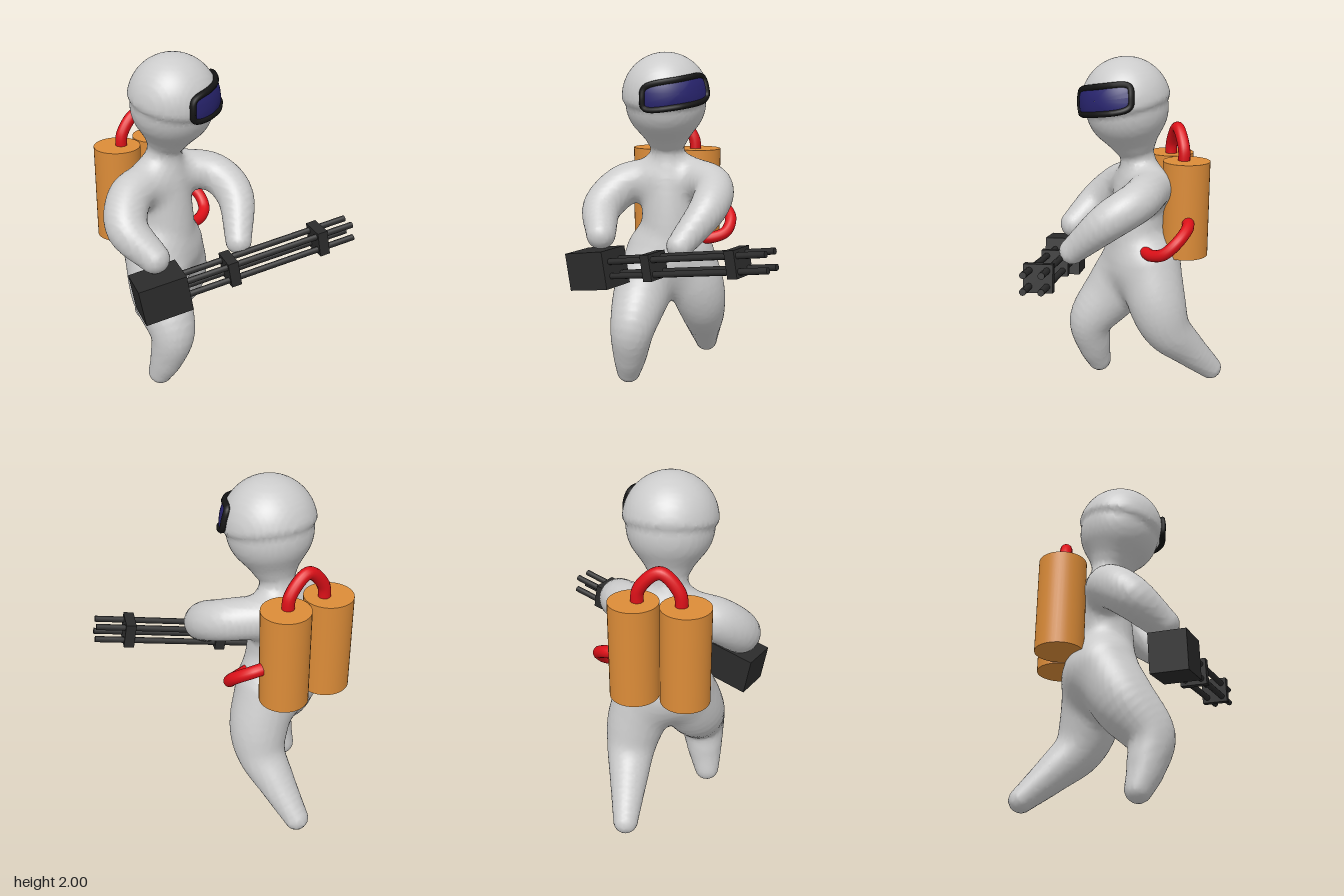
import * as THREE from 'three';

const mat = (color, side = THREE.FrontSide) => new THREE.MeshStandardMaterial({ color, side });
const V = (x, y, z) => new THREE.Vector3(x, y, z);

function add(parent, name, geometry, material, x = 0, y = 0, z = 0) {
  const mesh = new THREE.Mesh(geometry, material);
  mesh.name = name;
  mesh.position.set(x, y, z);
  parent.add(mesh);
  return mesh;
}

// Limbs as smooth chains of [x, y, z, radius]
const CHAINS = [
  // head, neck, torso
  [[-0.17, 1.745, 0.035, 0.255], [-0.21, 1.56, 0.03, 0.145], [-0.245, 1.42, 0.03, 0.1], [-0.27, 1.2, 0.025, 0.16],
    [-0.25, 1.0, 0.02, 0.165], [-0.27, 0.78, 0.02, 0.2]],
  // left leg, stepping forward
  [[-0.27, 0.78, 0.1, 0.185], [-0.17, 0.57, 0.175, 0.175], [-0.04, 0.38, 0.225, 0.135], [-0.065, 0.2, 0.245, 0.103],
    [-0.11, 0.073, 0.26, 0.073]],
  // right leg, trailing
  [[-0.28, 0.78, -0.07, 0.185], [-0.29, 0.57, -0.15, 0.17], [-0.34, 0.41, -0.185, 0.14], [-0.47, 0.27, -0.195, 0.108],
    [-0.645, 0.1, -0.205, 0.07]],
  // left arm
  [[-0.28, 1.25, 0.14, 0.12], [-0.28, 1.2, 0.3, 0.125], [-0.19, 1.08, 0.42, 0.117], [-0.01, 0.95, 0.405, 0.086]],
  // right arm
  [[-0.27, 1.26, -0.1, 0.12], [-0.1, 1.23, -0.245, 0.115], [0.08, 1.13, -0.225, 0.108], [0.22, 0.94, -0.07, 0.075]],
].map((pts) => {
  const path = new THREE.CatmullRomCurve3(pts.map((p) => V(p[0], p[1], p[2])), false, 'catmullrom');
  const radius = new THREE.CatmullRomCurve3(pts.map((p) => V(p[3], 0, 0)), false, 'catmullrom');
  const n = (pts.length - 1) * 6;
  return Array.from({ length: n + 1 }, (_, i) => ({ ...path.getPoint(i / n), r: radius.getPoint(i / n).x }));
});

// Distance to one tapered chain
function chainDistance(chain, x, y, z) {
  let best = Infinity;
  for (let i = 1; i < chain.length; i++) {
    const a = chain[i - 1], b = chain[i];
    const dx = b.x - a.x, dy = b.y - a.y, dz = b.z - a.z;
    let t = ((x - a.x) * dx + (y - a.y) * dy + (z - a.z) * dz) / (dx * dx + dy * dy + dz * dz);
    t = Math.min(1, Math.max(0, t));
    const px = x - a.x - dx * t, py = y - a.y - dy * t, pz = z - a.z - dz * t;
    best = Math.min(best, Math.sqrt(px * px + py * py + pz * pz) - a.r - (b.r - a.r) * t);
  }
  return best;
}

// All chains blended softly into one body
function bodyField(x, y, z) {
  const k = 0.07;
  let d = 10;
  for (const chain of CHAINS) {
    const e = chainDistance(chain, x, y, z);
    const h = Math.max(k - Math.abs(d - e), 0) / k;
    d = Math.min(d, e) - (h * h * k) / 4;
  }
  return d;
}

// Skin the field with quads across every grid edge that crosses the surface
function skin(field, min, max, step) {
  const n = [0, 1, 2].map((i) => Math.ceil((max[i] - min[i]) / step) + 1);
  const stride = [1, n[0], n[0] * n[1]];
  const values = new Float32Array(n[0] * n[1] * n[2]);
  const cellVertex = new Int32Array(values.length).fill(-1);
  const positions = [], index = [];
  const each = (from, fn) => {
    for (let z = from; z < n[2] - 1; z++)
      for (let y = from; y < n[1] - 1; y++)
        for (let x = from; x < n[0] - 1; x++) fn([x, y, z], x + y * stride[1] + z * stride[2]);
  };
  values.fill(1);
  each(0, (c, i) => { values[i] = field(...c.map((q, a) => min[a] + q * step)); });

  // one vertex per crossed cell, at the mean of its crossings
  each(0, (c, i) => {
    const sum = [0, 0, 0];
    let count = 0;
    for (let corner = 0; corner < 8; corner++) {
      const o = [corner & 1, (corner >> 1) & 1, corner >> 2];
      const j = i + o[0] + o[1] * stride[1] + o[2] * stride[2];
      for (let a = 0; a < 3; a++) {
        if (o[a]) continue;
        const f = values[j], g = values[j + stride[a]];
        if (f < 0 === g < 0) continue;
        for (let b = 0; b < 3; b++) sum[b] += o[b] + (a === b ? f / (f - g) : 0);
        count++;
      }
    }
    if (!count) return;
    cellVertex[i] = positions.length / 3;
    const p = c.map((q, a) => min[a] + (q + sum[a] / count) * step);
    const e = 0.004, d = field(...p);
    const grad = [0, 1, 2].map((a) => (field(...p.map((q, b) => q + (a === b ? e : 0))) - d) / e);
    const len = grad[0] ** 2 + grad[1] ** 2 + grad[2] ** 2 || 1;
    positions.push(...p.map((q, a) => q - (grad[a] * d) / len));
  });

  each(1, (c, i) => {
    for (let a = 0; a < 3; a++) {
      const inside = values[i] < 0;
      if (inside === values[i + stride[a]] < 0) continue;
      const u = stride[(a + 1) % 3], v = stride[(a + 2) % 3];
      const q = [i, i - u, i - u - v, i - v].map((s) => cellVertex[s]);
      if (!inside) q.reverse();
      index.push(q[0], q[1], q[2], q[0], q[2], q[3]);
    }
  });
  const geometry = new THREE.BufferGeometry();
  geometry.setAttribute('position', new THREE.Float32BufferAttribute(positions, 3));
  geometry.setIndex(index);
  geometry.computeVertexNormals();
  return geometry;
}

// Point on the head for a rounded-rectangle visor: angle round it, 0..1 from its middle
function visorPoint(angle, scale, radius) {
  const soft = (s) => Math.sign(s) * Math.abs(s) ** 0.4;
  const u = soft(Math.cos(angle)) * scale, v = soft(Math.sin(angle)) * scale;
  const azimuth = -0.37 - 0.87 * u;
  const y = 0.03 + 0.078 * v + 0.032 * u;
  const ring = Math.sqrt(radius * radius - y * y);
  return V(-0.17 + ring * Math.cos(azimuth), 1.745 + y, 0.035 + ring * Math.sin(azimuth));
}

function addVisor(parent) {
  const glass = new THREE.RingGeometry(0.001, 1, 64, 10);
  const pos = glass.attributes.position;
  for (let i = 0; i < pos.count; i++) {
    const x = pos.getX(i), y = pos.getY(i);
    const p = visorPoint(Math.atan2(y, x), Math.hypot(x, y), 0.266);
    pos.setXYZ(i, p.x, p.y, p.z);
  }
  glass.computeVertexNormals();
  add(parent, 'visorGlass', glass, mat(0x28246e, THREE.DoubleSide));
  const outline = Array.from({ length: 48 }, (_, i) => visorPoint((i / 48) * Math.PI * 2, 0.95, 0.262));
  add(parent, 'visorFrame', new THREE.TubeGeometry(new THREE.CatmullRomCurve3(outline, true), 120, 0.018, 8, true), mat(0x141414));
}

// Multi-barrel gun, built along its own +z and then aimed
function makeGun() {
  const gun = new THREE.Group();
  gun.name = 'gun';
  const dark = mat(0x2b2b2b);
  add(gun, 'gunBody', new THREE.BoxGeometry(0.21, 0.22, 0.28), dark);
  for (const z of [0.42, 0.975]) add(gun, 'barrelClamp', new THREE.BoxGeometry(0.155, 0.15, 0.06), dark, 0, 0, z);
  for (const x of [-0.046, 0.046])
    for (const y of [-0.042, 0.042]) {
      const barrel = add(gun, 'barrel', new THREE.CylinderGeometry(0.018, 0.018, 1.08, 10), dark, x, y, 0.635);
      barrel.rotation.x = Math.PI / 2;
    }
  gun.position.set(0.045, 0.76, 0.42);
  gun.lookAt(0.66, 0.97, -0.555);
  return gun;
}

export function createModel() {
  const model = new THREE.Group();
  model.name = 'armedFigure';
  add(model, 'body', skin(bodyField, [-0.78, -0.06, -0.45], [0.38, 2.08, 0.62], 0.022), mat(0xcccccc));
  addVisor(model);
  model.add(makeGun());

  // Backpack tanks
  const tank = new THREE.CylinderGeometry(0.136, 0.136, 0.56, 40);
  add(model, 'rightTank', tank, mat(0xdc8c38), -0.47, 1.13, -0.15);
  add(model, 'leftTank', tank, mat(0xdc8c38), -0.527, 1.13, 0.123);

  // Hoses: one arching between the tanks, one running round to the waist
  const hose = (name, pts) => add(model, name,
    new THREE.TubeGeometry(new THREE.CatmullRomCurve3(pts), 48, 0.035, 14), mat(0xdd1018, THREE.DoubleSide));
  hose('tankHose', [V(-0.464, 1.36, -0.13), V(-0.468, 1.48, -0.12), V(-0.49, 1.58, -0.01), V(-0.512, 1.48, 0.09), V(-0.515, 1.36, 0.1)]);
  hose('waistHose', [V(-0.44, 1.08, -0.22), V(-0.39, 1.06, -0.31), V(-0.3, 1.0, -0.355), V(-0.23, 0.93, -0.325), V(-0.2, 0.9, -0.24), V(-0.2, 0.9, -0.13)]);
  return model;
}
